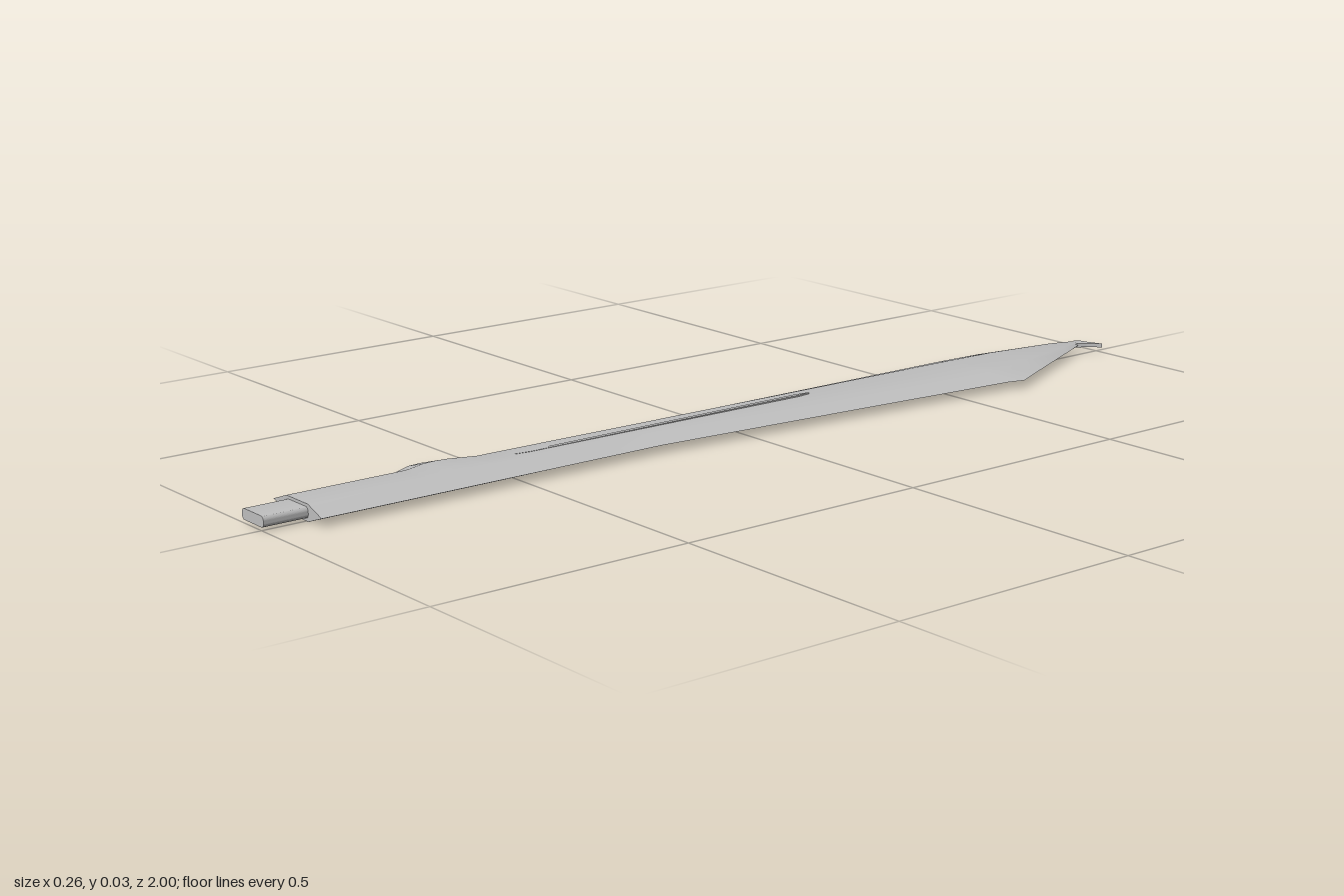
import * as THREE from 'three';
import { toCreasedNormals } from 'three/addons/utils/BufferGeometryUtils.js';

const MID = 0.0185; // height of the blade's centre plane

// Lofts six-sided sections [z, left, flatLeft, flatRight, right, halfThickness], front to back.
function loft(sections) {
  const pos = [];
  const idx = [];
  for (const [z, l, fl, fr, r, h] of sections) {
    pos.push(l, MID, z, fl, MID + h, z, fr, MID + h, z, r, MID, z, fr, MID - h, z, fl, MID - h, z);
  }
  const last = (sections.length - 1) * 6;
  for (let s = 0; s < last; s += 6) {
    for (let k = 0; k < 6; k++) {
      const a = s + k;
      const b = s + (k + 1) % 6;
      idx.push(a, b, b + 6, a, b + 6, a + 6);
    }
  }
  for (let k = 1; k < 5; k++) {
    idx.push(0, k + 1, k, last, last + k, last + k + 1);
  }
  const g = new THREE.BufferGeometry();
  g.setAttribute('position', new THREE.Float32BufferAttribute(pos, 3));
  g.setIndex(idx);
  return toCreasedNormals(g, 0.9);
}

export function createModel() {
  const steel = new THREE.MeshStandardMaterial({ color: 0xc0c0c0 });
  steel.name = 'steel';
  const group = new THREE.Group();
  const add = (name, geometry) => {
    const mesh = new THREE.Mesh(geometry, steel);
    mesh.name = name;
    group.add(mesh);
    return mesh;
  };

  // Blade: straight near the base, a bump on one edge, flaring to a clipped point
  add('blade', loft([
    [0.915, -0.105, -0.062, 0.007, 0.05, 0.0155],
    [0.69, -0.104, -0.062, 0.007, 0.05, 0.0155],
    [0.67, -0.108, -0.064, 0.007, 0.05, 0.0155],
    [0.63, -0.128, -0.078, 0.007, 0.05, 0.0155],
    [0.605, -0.131, -0.08, 0.007, 0.05, 0.0155],
    [0.58, -0.127, -0.077, 0.007, 0.05, 0.0155],
    [0.53, -0.1, -0.06, 0.007, 0.05, 0.0155],
    [0.47, -0.1, -0.06, 0.007, 0.05, 0.0153],
    [0.2, -0.098, -0.058, 0.007, 0.05, 0.0143],
    [-0.22, -0.096, -0.056, 0.033, 0.084, 0.0127],
    [-0.62, -0.094, -0.054, 0.058, 0.118, 0.0112],
    [-0.655, -0.093, -0.053, 0.063, 0.128, 0.011],
    [-0.74, -0.089, -0.052, 0.043, 0.088, 0.0105],
    [-0.9, -0.053, -0.037, 0.002, 0.015, 0.0085],
    [-0.975, -0.034, -0.03, -0.025, -0.02, 0.004],
  ]));

  // Narrow raised rib along the middle of both faces
  const c = -0.027;
  add('rib', loft([0.47, 0.44, -0.19, -0.22].map((z, i) => {
    const w = i === 0 || i === 3 ? 0.001 : 0.005;
    return [z, c - w, c - w * 0.9, c + w * 0.9, c + w, 0.0157];
  })));

  // Tang: bar with rounded long edges
  const x = 0.035, y = 0.01, r = 0.0075;
  const bar = new THREE.Shape();
  bar.absarc(x - r, y - r, r, 0, Math.PI / 2);
  bar.absarc(-x + r, y - r, r, Math.PI / 2, Math.PI);
  bar.absarc(-x + r, -y + r, r, Math.PI, Math.PI * 1.5);
  bar.absarc(x - r, -y + r, r, Math.PI * 1.5, Math.PI * 2);
  const tangGeometry = new THREE.ExtrudeGeometry(bar, { depth: 0.095, bevelEnabled: false, curveSegments: 5 });
  add('tang', toCreasedNormals(tangGeometry, 0.7)).position.set(-0.0275, MID, 0.905);

  // Small bent spike at the point, drawn in x and -z
  const spike = new THREE.Shape([
    [-0.037, 0.972], [-0.02, 0.93], [-0.012, 0.957], [-0.002, 0.972],
    [0.02, 0.996], [-0.008, 0.985], [-0.03, 0.98],
  ].map(([px, pz]) => new THREE.Vector2(px, pz)));
  const spikeGeometry = new THREE.ExtrudeGeometry(spike, { depth: 0.008, bevelEnabled: false });
  spikeGeometry.rotateX(-Math.PI / 2);
  add('tipSpike', spikeGeometry).position.y = MID - 0.004;

  return group;
}
